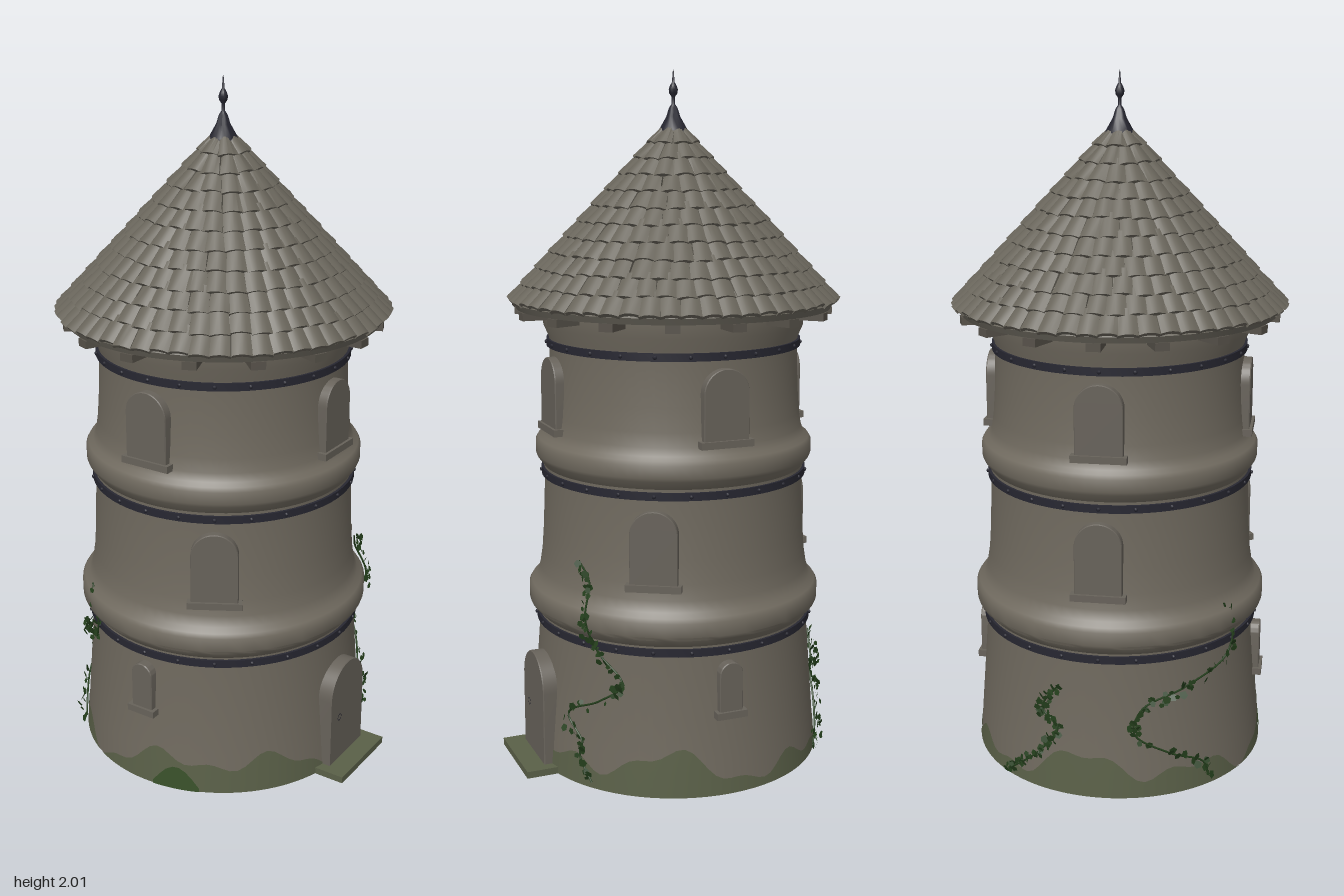
import * as THREE from 'three';
import { mergeGeometries, toCreasedNormals } from 'three/addons/utils/BufferGeometryUtils.js';

const mat = (name, color, side = THREE.FrontSide) => {
  const m = new THREE.MeshStandardMaterial({ color, side });
  m.name = name;
  return m;
};
const V2 = (x, y) => new THREE.Vector2(x, y);
const rad = THREE.MathUtils.degToRad;

// Wall outline from the ground to the eaves: radius, height
const wall = [[0.432, 0], [0.425, 0.1], [0.402, 0.4], [0.404, 0.435], [0.428, 0.46], [0.432, 0.47], [0.432, 0.51],
  [0.424, 0.522], [0.409, 0.535], [0.399, 0.565], [0.392, 0.61], [0.387, 0.68], [0.381, 0.83], [0.383, 0.875],
  [0.402, 0.9], [0.406, 0.91], [0.406, 0.945], [0.399, 0.957], [0.385, 0.967], [0.376, 0.99], [0.37, 1.03],
  [0.365, 1.1], [0.361, 1.22], [0.363, 1.25], [0.378, 1.285], [0.38, 1.34]];

function wallRadius(y) {
  for (let i = 1; i < wall.length; i++) {
    const [r0, y0] = wall[i - 1], [r1, y1] = wall[i];
    if (y <= y1) return r0 + (r1 - r0) * (y - y0) / (y1 - y0);
  }
  return 0.38;
}

function archShape(w, h, Type = THREE.Shape) {
  const s = new Type();
  s.moveTo(-w / 2, 0).lineTo(w / 2, 0).lineTo(w / 2, h - w / 2);
  s.absarc(0, h - w / 2, w / 2, 0, Math.PI, false);
  s.lineTo(-w / 2, 0);
  return s;
}

export function createModel() {
  const stone = mat('stone', 0x706a5f);
  const trim = mat('trimStone', 0x67625a);
  const slate = mat('roofTile', 0x69655b);
  const iron = mat('iron', 0x272731);
  const glass = mat('darkGlass', 0x32333e);
  const wood = mat('greyWood', 0x57524a);
  const mossy = mat('mossyStone', 0x5a6048, THREE.DoubleSide);
  const moss = mat('moss', 0x39502a, THREE.DoubleSide);
  const leaf = mat('vineLeaf', 0x243f1c, THREE.DoubleSide);

  const model = new THREE.Group();
  const tower = new THREE.Group();
  tower.name = 'tower';
  tower.position.x = -0.015;
  model.add(tower);

  let seed = 7;
  const rnd = () => (seed = (seed * 16807) % 2147483647) / 2147483647;
  const add = (parent, name, geo, material, x = 0, y = 0, z = 0) => {
    const m = new THREE.Mesh(geo, material);
    m.name = name;
    m.position.set(x, y, z);
    parent.add(m);
    return m;
  };
  const box = (w, h, d) => new THREE.BoxGeometry(w, h, d);
  const lathe = (pts, crease = 0.6, n = 72) =>
    toCreasedNormals(new THREE.LatheGeometry(pts.map(p => V2(...p)), n), crease);

  // Walls and underside
  add(tower, 'wall', lathe(wall), stone);
  add(tower, 'underside', new THREE.CircleGeometry(0.432, 72).rotateX(Math.PI / 2), mossy);

  // Riveted iron hoops
  for (const y of [0.418, 0.856, 1.234]) {
    const r = wallRadius(y);
    add(tower, 'ironHoop', lathe([[r - 0.01, y - 0.011], [r + 0.008, y - 0.011], [r + 0.008, y + 0.011], [r - 0.01, y + 0.011]]), iron);
    const rivets = [];
    for (let i = 0; i < 24; i++)
      rivets.push(new THREE.SphereGeometry(0.006, 6, 4).translate(0, y, r + 0.008).rotateY(i * Math.PI / 12));
    add(tower, 'hoopRivets', mergeGeometries(rivets), iron);
  }

  // Arched stone surround with a fill; local z points out of the wall
  function opening(name, az, y, w, h, border, face, back, fill) {
    const g = new THREE.Group();
    g.name = name;
    g.rotation.y = rad(az);
    tower.add(g);
    const s = archShape(w, h);
    const hole = archShape(w - 2 * border, h - border, THREE.Path);
    s.holes.push(hole);
    const geo = new THREE.ExtrudeGeometry(s, { depth: 0.05, curveSegments: 12, bevelEnabled: true, bevelSize: 0.002, bevelThickness: 0.003, bevelSegments: 1, bevelOffset: -0.002 });
    add(g, 'surround', toCreasedNormals(geo, 0.5), trim, 0, y, face - 0.053);
    add(g, 'fill', new THREE.ShapeGeometry(archShape(w - 2 * border, h - border), 12), fill, 0, y, back);
    return g;
  }
  function windowAt(name, az, y, w, h, border, face, back, bars) {
    const g = opening(name, az, y, w, h, border, face, back, glass);
    add(g, 'sill', box(w + 0.022, 0.02, 0.06), trim, 0, y - 0.004, face - 0.022);
    const inner = w - 2 * border;
    for (let i = 1; i <= bars; i++) {
      const x = inner * (i / (bars + 1) - 0.5);
      const top = h - w / 2 + Math.sqrt((inner / 2) ** 2 - x * x);
      add(g, 'bar', new THREE.CylinderGeometry(0.004, 0.004, top, 6), iron, x, y + top / 2, back + 0.003);
    }
  }
  for (const az of [0, 90, 180, 270]) windowAt('upperWindow', az, 1, 0.134, 0.202, 0.015, 0.385, 0.378, 0);
  for (const az of [30, 150, 270]) windowAt('middleWindow', az, 0.605, 0.134, 0.212, 0.021, 0.404, 0.395, 3);
  for (const az of [0, 180]) windowAt('slitWindow', az, 0.24, 0.07, 0.147, 0.017, 0.43, 0.417, 1);

  // Door with planks, straps and ring handle
  const door = opening('door', 90, 0.015, 0.195, 0.317, 0.023, 0.445, 0.434, iron);
  for (let i = 0; i < 4; i++) {
    const x0 = -0.0745 + i * 0.03725 + 0.003, x1 = x0 + 0.0315;
    const top = x => 0.2195 + Math.sqrt(Math.max(0, 0.0735 ** 2 - x * x));
    const s = new THREE.Shape([V2(x0, 0), V2(x1, 0)]);
    for (let k = 4; k >= 0; k--) {
      const x = x0 + (x1 - x0) * k / 4;
      s.lineTo(x, top(x));
    }
    add(door, 'plank', new THREE.ExtrudeGeometry(s, { depth: 0.006, bevelEnabled: false }), wood, 0, 0.015, 0.433);
  }
  for (const y of [0.095, 0.222]) add(door, 'strap', box(0.14, 0.014, 0.006), iron, 0, y, 0.441);
  add(door, 'handle', new THREE.TorusGeometry(0.01, 0.0025, 6, 14), iron, -0.045, 0.163, 0.443);
  add(tower, 'doorStep', box(0.105, 0.02, 0.255), mossy, 0.4525, 0.01, 0);

  // Moss creeping up the foot of the wall
  function mossPatch(name, from, to, height, material, lift) {
    const n = Math.ceil((to - from) / 3), rows = 4;
    const geo = new THREE.PlaneGeometry(1, 1, n, rows);
    const p = geo.attributes.position;
    for (let i = 0; i < p.count; i++) {
      const a = rad(from + (p.getX(i) + 0.5) * (to - from));
      const y = 0.001 + (p.getY(i) + 0.5) * height(a, p.getX(i) + 0.5), r = wallRadius(y) + lift;
      p.setXYZ(i, r * Math.sin(a), y, r * Math.cos(a));
    }
    geo.computeVertexNormals();
    add(tower, name, geo, material);
  }
  mossPatch('mossyFoot', 0, 360, a => 0.07 + 0.035 * Math.sin(3 * a) + 0.03 * Math.sin(7 * a + 1) + 0.015 * Math.sin(16 * a), mossy, 0.0015);
  mossPatch('mossClump', 5, 24, (a, t) => 0.012 + 0.06 * Math.sin(Math.PI * t), moss, 0.004);

  // Climbing vines: azimuth in degrees, height
  const vines = [
    [[-46, 0.04], [-48, 0.08], [-62, 0.13], [-76, 0.2], [-73, 0.27], [-55, 0.32], [-34, 0.37], [-30, 0.44], [-36, 0.54]],
    [[126, 0.02], [120, 0.09], [121, 0.13], [113, 0.2], [128, 0.26], [138, 0.32], [127, 0.4], [124, 0.5], [122, 0.6], [116, 0.65]],
    [[231, 0.02], [238, 0.06], [247, 0.12], [254, 0.2], [247, 0.25], [254, 0.33]]];
  for (const path of vines) {
    const curve = new THREE.CatmullRomCurve3(path.map(([a, y]) => {
      const r = wallRadius(y) + 0.008;
      return new THREE.Vector3(r * Math.sin(rad(a)), y, r * Math.cos(rad(a)));
    }));
    add(tower, 'vineStem', new THREE.TubeGeometry(curve, 60, 0.003, 5), leaf);
    const leaves = [];
    for (let i = 0; i < 75; i++) {
      const c = curve.getPoint(rnd());
      const size = 0.007 + 0.006 * rnd();
      const g = new THREE.CircleGeometry(size, 5);
      g.rotateZ(rnd() * 6).rotateX(rnd() - 0.5).rotateY(Math.atan2(c.x, c.z) + rnd() * 1.4 - 0.7);
      const out = 1.015 + 0.015 * rnd();
      leaves.push(g.translate(c.x * out, c.y + (rnd() - 0.5) * 0.03, c.z * out)
        .translate((rnd() - 0.5) * 0.022, 0, (rnd() - 0.5) * 0.022));
    }
    add(tower, 'vineLeaves', mergeGeometries(leaves), leaf);
  }

  // Eaves: rafter ends and the roof core with its soffit
  for (let i = 0; i < 16; i++) {
    const g = new THREE.Group();
    g.name = 'rafter';
    g.rotation.y = i * Math.PI / 8;
    tower.add(g);
    add(g, 'rafterEnd', box(0.04, 0.022, 0.1), wood, 0, 1.321, 0.41);
  }
  add(tower, 'roofCore', lathe([[0.36, 1.332], [0.455, 1.332], [0.463, 1.35], [0.02, 1.833]]), slate);

  // Rows of arched, slightly crooked roof tiles
  const rows = 11, length = 0.082, tiles = [];
  for (let i = 0; i < rows; i++) {
    const t = i / rows, r = 0.478 - 0.447 * t, y = 1.352 + 0.485 * t;
    const n = Math.max(8, Math.round(2 * Math.PI * r / 0.055));
    const w = 2 * Math.PI * r / n * 1.02, taper = Math.max(0.3, (r - 0.055) / r);
    for (let k = 0; k < n; k++) {
      const g = new THREE.BoxGeometry(w, 0.011, length, 4, 1, 1);
      const p = g.attributes.position;
      for (let j = 0; j < p.count; j++) {
        const x = p.getX(j), top = p.getZ(j) < 0;
        p.setY(j, p.getY(j) + 0.008 * (0.5 - (2 * x / w) ** 2));
        if (top) p.setX(j, x * taper);
      }
      g.translate(0, 0.006, -length / 2 + (rnd() - 0.5) * 0.008);
      g.rotateY((rnd() - 0.5) * 0.09).rotateZ((rnd() - 0.5) * 0.08);
      g.rotateX(0.829 - 0.07 - rnd() * 0.04).translate(0, y, r - 0.006);
      g.rotateY((k + 0.5 * (i % 2) + (rnd() - 0.5) * 0.1) * 2 * Math.PI / n);
      tiles.push(g);
    }
  }
  add(tower, 'roofTiles', toCreasedNormals(mergeGeometries(tiles), 0.6), slate);

  // Finial
  add(tower, 'finial', lathe([[0.042, 1.825], [0.04, 1.835], [0.02, 1.87], [0.012, 1.895], [0.005, 1.905], [0.005, 1.925],
    [0.012, 1.935], [0.013, 1.945], [0.01, 1.955], [0.004, 1.965], [0.001, 2]], 0.9, 16), iron);

  return model;
}
